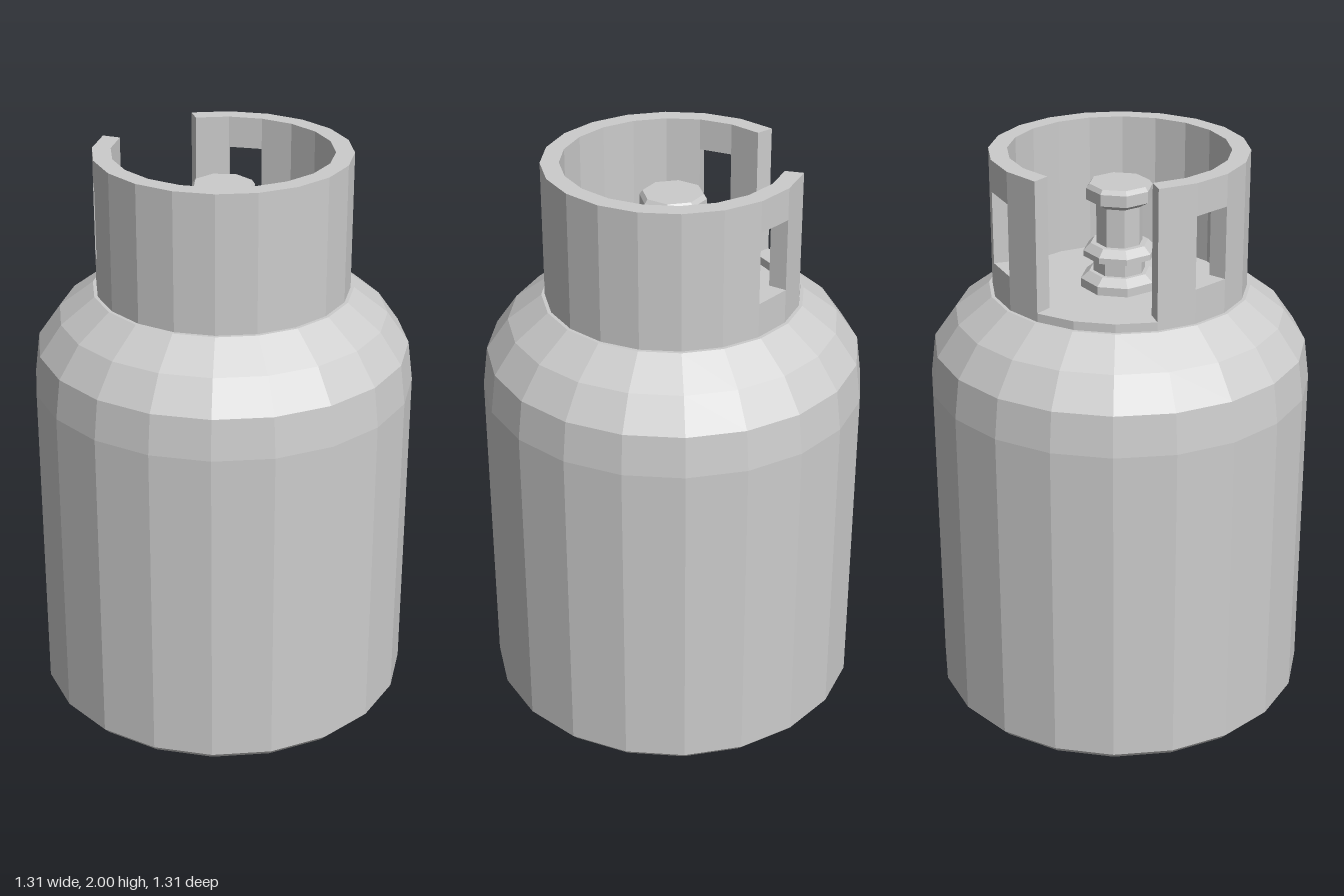
import * as THREE from 'three';

const SIDES = 20;
const STEP = (Math.PI * 2) / SIDES;

// Faceted solid of revolution with flat sides facing the axes
function turned(name, profile, sides, material) {
  const points = profile.map(([r, y]) => new THREE.Vector2(r, y));
  const geometry = new THREE.LatheGeometry(points, sides, Math.PI / sides);
  const mesh = new THREE.Mesh(geometry, material);
  mesh.name = name;
  return mesh;
}

// Thick ring of flat panels, with some panels left open in some height bands
function panelRing(ri, ro, ys, solid) {
  const pos = [];
  const P = (r, a, y) => [r * Math.cos(a), y, r * Math.sin(a)];
  const quad = (a, b, c, d) => pos.push(...a, ...b, ...c, ...a, ...c, ...d);
  for (let k = 0; k < SIDES; k++) {
    const a0 = Math.PI + (k - 0.5) * STEP;
    const a1 = a0 + STEP;
    for (let b = 0; b < ys.length - 1; b++) {
      if (!solid(k, b)) continue;
      const y0 = ys[b], y1 = ys[b + 1];
      // outer and inner walls
      quad(P(ro, a0, y0), P(ro, a0, y1), P(ro, a1, y1), P(ro, a1, y0));
      quad(P(ri, a0, y0), P(ri, a1, y0), P(ri, a1, y1), P(ri, a0, y1));
      // rims wherever the neighbouring cell is open
      if (!solid(k, b + 1)) quad(P(ri, a0, y1), P(ri, a1, y1), P(ro, a1, y1), P(ro, a0, y1));
      if (!solid(k, b - 1)) quad(P(ri, a0, y0), P(ro, a0, y0), P(ro, a1, y0), P(ri, a1, y0));
      if (!solid(k + 1, b)) quad(P(ri, a1, y0), P(ro, a1, y0), P(ro, a1, y1), P(ri, a1, y1));
      if (!solid(k - 1, b)) quad(P(ri, a0, y0), P(ri, a0, y1), P(ro, a0, y1), P(ro, a0, y0));
    }
  }
  const geometry = new THREE.BufferGeometry();
  geometry.setAttribute('position', new THREE.Float32BufferAttribute(pos, 3));
  geometry.computeVertexNormals();
  return geometry;
}

export function createModel() {
  const model = new THREE.Group();
  model.name = 'gasCylinder';
  const grey = new THREE.MeshStandardMaterial({ color: 0xcccccc, flatShading: true });
  grey.name = 'grey metal';

  // Tank with bevelled foot and domed shoulder
  model.add(turned('tank', [
    [0, 0], [0.64, 0], [0.663, 0.025], [0.663, 1.18], [0.645, 1.32],
    [0.568, 1.43], [0.45, 1.52], [0, 1.52],
  ], SIDES, grey));

  // Guard collar: wide gap on the right side, a handle slot either side of it
  const ys = [1.515, 1.55, 1.64, 1.89, 2];
  const solid = (k, b) => {
    if (b < 0 || b >= ys.length - 1) return false;
    const m = (k + SIDES) % SIDES;
    const fromGap = Math.min(m, SIDES - m);
    if (fromGap <= 1) return b === 0;
    return !(fromGap === 3 && b === 2);
  };
  const collar = new THREE.Mesh(panelRing(0.375, 0.438, ys, solid), grey);
  collar.name = 'guardCollar';
  model.add(collar);

  // Octagonal valve with flange, middle ring and bevelled cap
  model.add(turned('valve', [
    [0.135, 1.515], [0.135, 1.55], [0.105, 1.575], [0.09, 1.575], [0.09, 1.63],
    [0.125, 1.63], [0.125, 1.65], [0.1, 1.675], [0.08, 1.675], [0.08, 1.81],
    [0.114, 1.83], [0.114, 1.87], [0.103, 1.885], [0, 1.885],
  ], 8, grey));

  return model;
}
